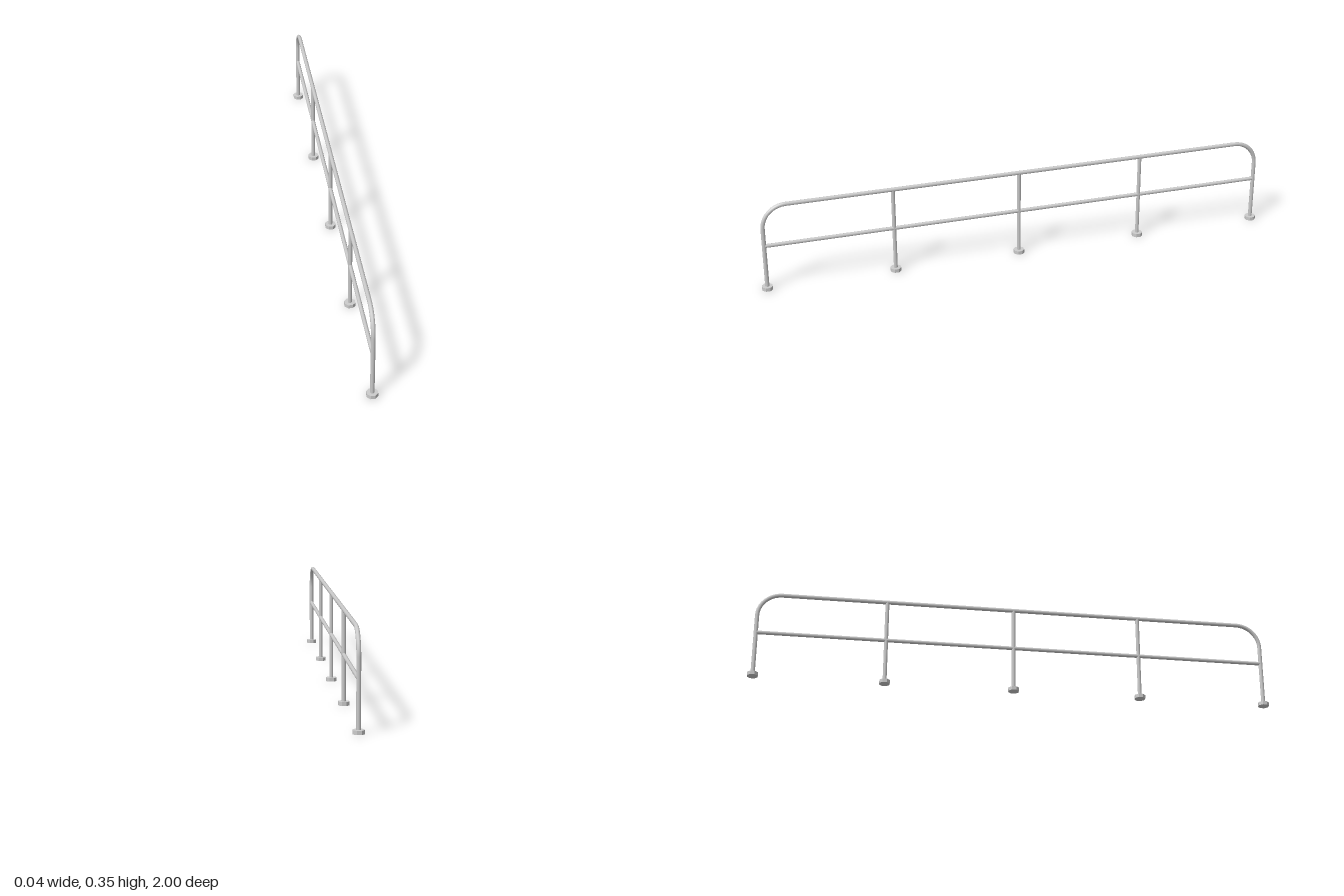
import * as THREE from 'three';

const PIPE = 0.008, SIDES = 8;
const END_Z = 0.98, TOP_Y = 0.342, MID_Y = 0.181, BEND = 0.09;
const FLANGE_R = 0.0212, FLANGE_H = 0.014;

export function createModel() {
  const group = new THREE.Group();
  const metal = new THREE.MeshStandardMaterial({ color: 0xcccccc });
  const flat = new THREE.MeshStandardMaterial({ color: 0xcccccc, flatShading: true });

  const add = (name, geometry, y, z, material = metal) => {
    const mesh = new THREE.Mesh(geometry, material);
    mesh.name = name;
    mesh.position.set(0, y, z);
    group.add(mesh);
    return mesh;
  };
  const pipe = (length, radius = PIPE) => new THREE.CylinderGeometry(radius, radius, length, SIDES);

  // Horizontal rails
  add('topRail', pipe(2 * (END_Z - BEND)).rotateX(Math.PI / 2), TOP_Y, 0);
  add('middleRail', pipe(2 * END_Z, 0.0075).rotateX(Math.PI / 2), MID_Y, 0);

  // Quarter bends joining the top rail to the end posts
  for (const side of [1, -1]) {
    const bend = new THREE.TorusGeometry(BEND, PIPE, SIDES, 10, Math.PI / 2);
    bend.rotateY(-side * Math.PI / 2);
    add(side > 0 ? 'frontBend' : 'backBend', bend, TOP_Y - BEND, side * (END_Z - BEND));
  }

  // Five evenly spaced posts on octagonal floor flanges
  for (let i = -2; i <= 2; i++) {
    const z = i * END_Z / 2;
    const isEnd = Math.abs(i) === 2;
    const height = isEnd ? TOP_Y - BEND : TOP_Y;
    const bottom = 0.002;
    add(isEnd ? 'endPost' : 'middlePost', pipe(height - bottom, isEnd ? PIPE : 0.0075), (height + bottom) / 2, z);
    const flange = new THREE.CylinderGeometry(FLANGE_R, FLANGE_R, FLANGE_H, 8).rotateY(Math.PI / 8);
    add('floorFlange', flange, FLANGE_H / 2, z, flat);
  }
  return group;
}
